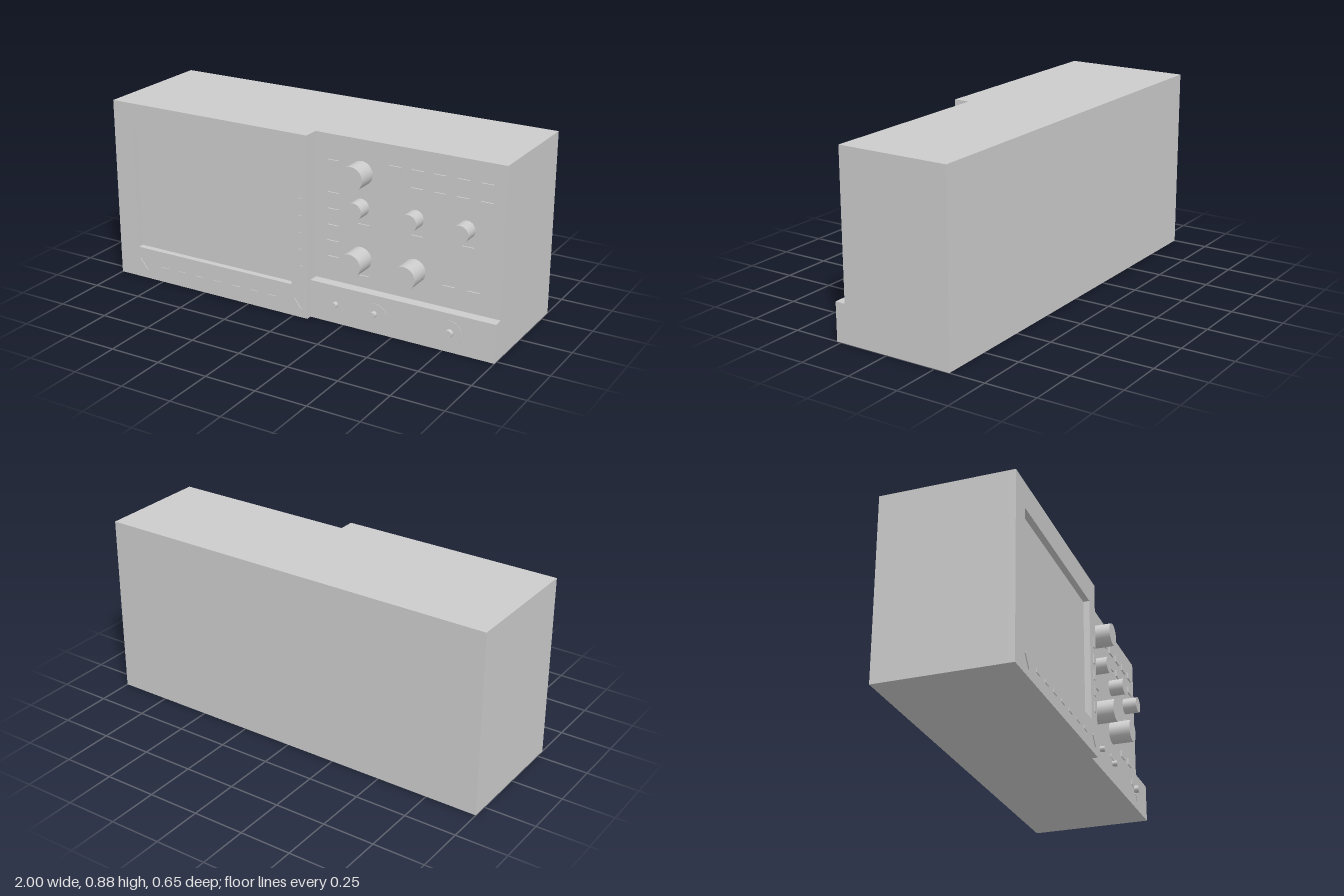
import * as THREE from 'three';

const grey = new THREE.MeshStandardMaterial({ color: 0xcccccc });
const H = 0.885, BACK = -0.325, PANEL = 0.222, LEDGE = 0.272, BEZEL = 0.30, SPLIT = 0.075;

export function createModel() {
  const root = new THREE.Group();

  const add = (name, geo, x = 0, y = 0, z = 0) => {
    const m = new THREE.Mesh(geo, grey);
    m.name = name;
    m.position.set(x, y, z);
    root.add(m);
    return m;
  };
  // box given by its minimum and maximum corners
  const block = (name, x0, x1, y0, y1, z0, z1) =>
    add(name, new THREE.BoxGeometry(x1 - x0, y1 - y0, z1 - z0),
      (x0 + x1) / 2, (y0 + y1) / 2, (z0 + z1) / 2);
  // round part standing out of a front surface
  const peg = (name, x, y, r, z0, z1) => {
    const g = new THREE.CylinderGeometry(r, r, z1 - z0, 40);
    g.rotateX(Math.PI / 2);
    return add(name, g, x, y, (z0 + z1) / 2);
  };
  const rect = (C, x0, x1, y0, y1) => new C([
    new THREE.Vector2(x0, y0), new THREE.Vector2(x1, y0),
    new THREE.Vector2(x1, y1), new THREE.Vector2(x0, y1)]);
  const extrude = (s, depth) =>
    new THREE.ExtrudeGeometry(s, { depth, bevelEnabled: false, curveSegments: 24 });

  // main case: stepped plan extruded upwards, deeper behind the screen
  const screenZ = 0.27;
  const plan = new THREE.Shape([[-1, -screenZ], [SPLIT, -screenZ], [SPLIT, -PANEL],
    [1, -PANEL], [1, -BACK], [-1, -BACK]].map(p => new THREE.Vector2(...p)));
  const caseGeo = extrude(plan, H);
  caseGeo.rotateX(-Math.PI / 2);
  add('case', caseGeo);

  // raised frame around the recessed screen
  const frame = rect(THREE.Shape, -1, SPLIT, 0, H);
  frame.holes.push(rect(THREE.Path, -0.89, -0.01, 0.155, 0.76));
  add('screenFrame', extrude(frame, BEZEL - screenZ), 0, 0, screenZ);

  // socket ledge under the control panel
  block('socketLedge', SPLIT, 1, 0, 0.185, PANEL, LEDGE);

  // control knobs: x, y, radius, front
  [[0.31, 0.73, 0.056, 0.318], [0.31, 0.57, 0.04, 0.294], [0.58, 0.57, 0.04, 0.294],
    [0.825, 0.57, 0.04, 0.294], [0.31, 0.325, 0.055, 0.327], [0.58, 0.325, 0.055, 0.327]]
    .forEach(([x, y, r, z]) => peg('knob', x, y, r, PANEL, z));

  // push buttons on the control panel
  const button = (x, y) =>
    block('panelButton', x - 0.029, x + 0.029, y - 0.017, y + 0.017, PANEL, PANEL + 0.007);
  [0.75, 0.597, 0.519, 0.441, 0.365, 0.288].forEach(y => button(0.168, y));
  [0.477, 0.587, 0.694, 0.804, 0.914].forEach((x, i) => {
    button(x, 0.775);
    if (i > 0) button(x, 0.693);
  });
  [0.325, 0.59, 0.835].forEach(x => button(x, 0.475));
  button(0.325, 0.228);
  button(0.75, 0.272);
  button(0.868, 0.272);

  // soft keys beside and below the screen
  const key = (x, y, w, h, turn = 0) => {
    const m = block('softKey', x - w / 2, x + w / 2, y - h / 2, y + h / 2, BEZEL, BEZEL + 0.004);
    m.rotation.z = turn;
  };
  for (let i = 0; i < 5; i++) key(0.042, 0.562 - i * 0.082, 0.02, 0.05);
  for (let i = 0; i < 7; i++) key(-0.735 + i * 0.104, 0.069, 0.045, 0.016);
  key(-0.865, 0.066, 0.07, 0.016, -0.9);
  key(0.02, 0.062, 0.06, 0.016, -0.9);

  // sockets and their collars on the ledge
  peg('socketPin', 0.21, 0.095, 0.014, LEDGE, 0.295);
  peg('socketPin', 0.41, 0.095, 0.014, LEDGE, 0.295);
  peg('socketPin', 0.785, 0.095, 0.018, LEDGE, 0.295);
  const crescent = new THREE.Shape();
  crescent.absarc(0, 0, 0.06, 0.36, 2.55, false);
  crescent.closePath();
  add('socketCollar', extrude(crescent, 0.002), 0.415, 0.085, LEDGE);
  const fan = new THREE.Shape();
  fan.absarc(0, 0, 0.06, -1.0, 2.95, false);
  fan.absarc(0, 0, 0.02, 2.95, -1.0, true);
  fan.closePath();
  add('socketCollar', extrude(fan, 0.002), 0.785, 0.092, LEDGE);

  return root;
}
